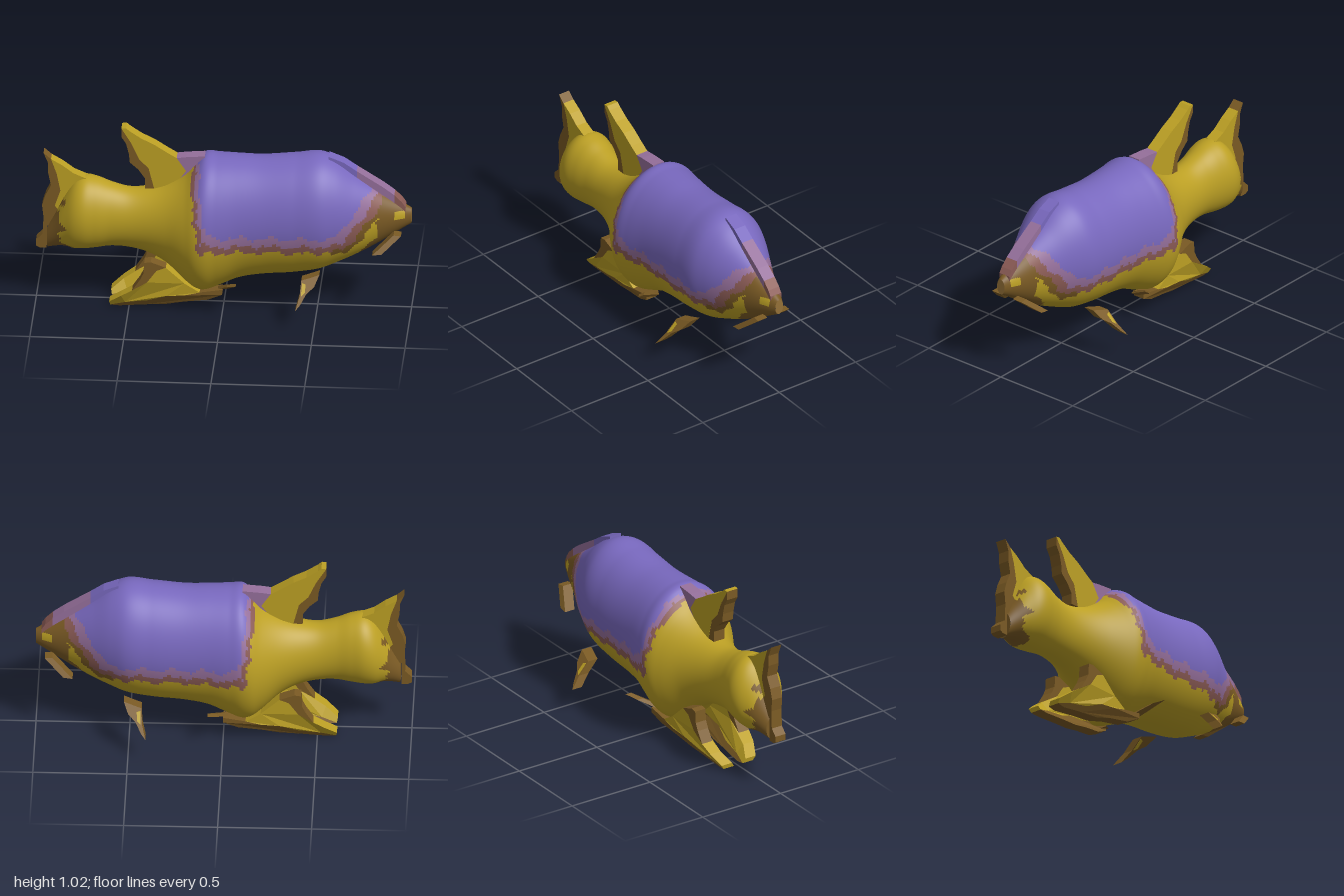
import * as THREE from 'three';

const COLORS = {
  yellow: 0xbca024, purple: 0x7868be, mauve: 0x96709c,
  rose: 0x8c5c56, brown: 0x7a5a24, tan: 0x947038,
};
const NAMES = Object.keys(COLORS);

// Body sections, tail to snout: x, belly y, back y, half width
const SECTIONS = [
  [-0.94, 0.295, 0.44, 0.05], [-0.9, 0.305, 0.51, 0.075], [-0.85, 0.31, 0.61, 0.11],
  [-0.8, 0.3, 0.685, 0.142], [-0.75, 0.3, 0.717, 0.153], [-0.68, 0.308, 0.71, 0.142],
  [-0.6, 0.32, 0.68, 0.126], [-0.5, 0.315, 0.655, 0.125], [-0.4, 0.29, 0.665, 0.145],
  [-0.3, 0.235, 0.7, 0.185], [-0.2, 0.14, 0.765, 0.245], [-0.15, 0.1, 0.82, 0.272],
  [-0.1, 0.088, 0.865, 0.281], [-0.03, 0.115, 0.865, 0.27], [0.08, 0.165, 0.862, 0.252],
  [0.2, 0.19, 0.86, 0.245], [0.38, 0.208, 0.877, 0.245], [0.52, 0.235, 0.89, 0.24],
  [0.6, 0.268, 0.858, 0.212], [0.7, 0.315, 0.785, 0.165], [0.8, 0.37, 0.715, 0.115],
  [0.9, 0.435, 0.65, 0.072], [0.96, 0.475, 0.612, 0.046], [1, 0.5, 0.588, 0.026],
];

// Colour of the skin at a point, with ragged borders
function skinColor(x, y, a) {
  if (Math.abs(x - 0.94) < 0.024 && Math.abs(y - 0.565) < 0.022) return 'yellow'; // eye
  const n = 0.011 * Math.sin(x * 37 + 1) + 0.008 * Math.sin(x * 83 + y * 40);
  const m = 0.012 * Math.sin(y * 45) + 0.008 * Math.sin(y * 97 + 2);
  const left = (x + 0.125 - 0.12 * (0.8 - y)) * 2 + m;
  const bottom = y - 0.495 + n;
  const front = ((y - 0.52) * 0.16 - (x - 0.63) * 0.2) / 0.256 + m * 0.7;
  // rounded corner between the left and lower borders
  const d = Math.min(left, bottom, front) - 0.02 * Math.exp(-(left * left + bottom * bottom) * 150);
  if (d > 0) return 'purple';
  if (d > -0.05) return 'mauve';
  if (d > -0.092) return 'rose';
  if (x > 0.58 && d > -0.125) return 'brown';
  const low = Math.pow(Math.max(0, -Math.cos(a)), 3);
  if (x > 0.83 - 0.13 * low + m) return 'brown'; // snout and chin
  if (x < -0.865 + m * 1.5 + 0.05 * low) return 'brown'; // tail root
  return 'yellow';
}

function bodyGeometry() {
  const NX = 176, NA = 120;
  const spline = new THREE.CubicInterpolant(
    SECTIONS.map((s) => s[0]), SECTIONS.flatMap((s) => s.slice(1)), 3);
  const pos = [], lists = NAMES.map(() => []);
  for (let i = 0; i <= NX; i++) {
    const x = -0.94 + (1.94 * i) / NX;
    const [lo, hi, w] = spline.evaluate(x);
    for (let j = 0; j < NA; j++) {
      const a = (j / NA) * Math.PI * 2;
      pos.push(x, (lo + hi) / 2 + ((hi - lo) / 2) * Math.cos(a), w * Math.sin(a));
    }
  }
  for (let i = 0; i < NX; i++) {
    for (let j = 0; j < NA; j++) {
      const k = (j + 1) % NA;
      const p = i * NA + j, q = i * NA + k, r = p + NA, s = q + NA;
      const c = skinColor((pos[p * 3] + pos[s * 3]) / 2, (pos[p * 3 + 1] + pos[s * 3 + 1]) / 2,
        ((j + 0.5) / NA) * Math.PI * 2);
      lists[NAMES.indexOf(c)].push(p, q, r, q, s, r);
    }
  }
  const g = new THREE.BufferGeometry();
  g.setAttribute('position', new THREE.Float32BufferAttribute(pos, 3));
  g.setIndex(lists.flat());
  let start = 0;
  lists.forEach((l, m) => {
    if (l.length) g.addGroup(start, l.length, m);
    start += l.length;
  });
  g.computeVertexNormals();
  return g;
}

// Slab with a side outline; zAt gives its middle z at each point
function slab(points, thick, zAt = () => 0, side = 1) {
  const shape = new THREE.Shape(points.map((p) => new THREE.Vector2(p[0], p[1])));
  const g = new THREE.ExtrudeGeometry(shape, { depth: 1, bevelEnabled: false });
  const p = g.attributes.position;
  for (let i = 0; i < p.count; i++) {
    p.setZ(i, side * zAt(p.getX(i), p.getY(i)) + (p.getZ(i) - 0.5) * thick);
  }
  g.computeVertexNormals();
  return g;
}

export function createModel() {
  const model = new THREE.Group();
  const mats = {};
  for (const n of NAMES) {
    mats[n] = new THREE.MeshStandardMaterial({ color: COLORS[n] });
    mats[n].name = n;
  }
  const add = (name, geometry, material) => {
    const mesh = new THREE.Mesh(geometry, material);
    mesh.name = name;
    model.add(mesh);
    return mesh;
  };

  add('body', bodyGeometry(), NAMES.map((n) => mats[n]));

  // Closed ends of the body
  const cap = (name, mat, x, y, h, w, turn) => {
    const m = add(name, new THREE.CircleGeometry(1, 32), mat);
    m.scale.set(w, h, 1);
    m.rotation.y = turn;
    m.position.set(x, y, 0);
  };
  cap('noseTip', mats.tan, 1, 0.544, 0.044, 0.026, Math.PI / 2);
  cap('tailEnd', mats.brown, -0.94, 0.3675, 0.0725, 0.05, -Math.PI / 2);

  // Dorsal fin
  add('dorsalFin', slab([[-0.545, 1.02], [-0.49, 0.93], [-0.45, 0.84], [-0.4, 0.79], [-0.37, 0.67],
    [-0.25, 0.71], [-0.2, 0.78], [-0.25, 0.855], [-0.3, 0.885], [-0.37, 0.93], [-0.44, 0.965],
    [-0.5, 1.005], [-0.52, 1.022]], 0.07), mats.yellow);
  add('dorsalFinEdge', slab([[-0.545, 1.02], [-0.545, 0.97], [-0.52, 0.93], [-0.505, 0.87],
    [-0.5, 0.82], [-0.455, 0.78], [-0.42, 0.73], [-0.42, 0.67], [-0.37, 0.67], [-0.4, 0.79],
    [-0.45, 0.84], [-0.49, 0.93]], 0.068), mats.brown);
  add('dorsalFinBase', slab([[-0.25, 0.855], [-0.2, 0.78], [-0.25, 0.71], [-0.1, 0.78],
    [-0.1, 0.87], [-0.2, 0.862]], 0.07), mats.mauve);

  // Forehead crest, changing colour towards the snout
  const crest = [[0.56, 0.89], [0.64, 0.858], [0.71, 0.81], [0.78, 0.765], [0.85, 0.72],
    [0.91, 0.675], [0.95, 0.635], [0.97, 0.605]];
  const crestColors = ['purple', 'purple', 'mauve', 'mauve', 'mauve', 'rose', 'rose'];
  crestColors.forEach((c, i) => {
    const [a, b] = [crest[i], crest[i + 1]];
    add('crest' + (i + 1), slab([a, [a[0], a[1] - 0.08], [b[0], b[1] - 0.08], b], 0.07), mats[c]);
  });

  // Tail fin
  add('tailFin', slab([[-0.92, 0.825], [-0.89, 0.74], [-0.87, 0.64], [-0.9, 0.55], [-0.86, 0.5],
    [-0.74, 0.65], [-0.735, 0.717], [-0.8, 0.745], [-0.86, 0.79]], 0.065), mats.yellow);
  add('tailFinEdge', slab([[-0.96, 0.86], [-0.935, 0.8], [-0.935, 0.74], [-0.92, 0.67],
    [-0.95, 0.61], [-0.968, 0.55], [-0.96, 0.48], [-0.965, 0.38], [-1, 0.345], [-1, 0.31],
    [-0.98, 0.3], [-0.945, 0.3], [-0.945, 0.43], [-0.9, 0.45], [-0.86, 0.5], [-0.9, 0.55], [-0.87, 0.64],
    [-0.89, 0.74], [-0.92, 0.825]], 0.065), mats.brown);

  // Paired fins
  for (const side of [1, -1]) {
    const tag = side > 0 ? 'Left' : 'Right';
    const lowerZ = (x, y) => 0.058 + 0.6 * Math.min(y, 0.1);
    add('lowerFin' + tag, slab([[-0.6, 0.005], [-0.52, 0.03], [-0.4, 0.05], [-0.3, 0.09], [-0.2, 0.1],
      [-0.12, 0.12], [-0.2, 0.17], [-0.3, 0.26], [-0.35, 0.24], [-0.4, 0.17], [-0.48, 0.12],
      [-0.54, 0.08], [-0.605, 0.03]], 0.066, lowerZ, side), mats.yellow);
    add('lowerFinEdge' + tag, slab([[-0.6, 0.005], [-0.55, 0], [-0.42, 0.015], [-0.3, 0.025],
      [-0.2, 0.05], [-0.08, 0.07], [0, 0.11], [0, 0.14], [-0.12, 0.12], [-0.2, 0.1], [-0.3, 0.09],
      [-0.4, 0.05], [-0.52, 0.03]], 0.066, lowerZ, side), mats.brown);
    add('lowerFinBack' + tag, slab([[-0.48, 0.12], [-0.4, 0.17], [-0.35, 0.24], [-0.3, 0.26],
      [-0.38, 0.29], [-0.415, 0.285], [-0.42, 0.22], [-0.44, 0.18]], 0.066, lowerZ, side), mats.brown);
    add('lowerFinTip' + tag, slab([[-0.06, 0.1], [0.02, 0.13], [0.08, 0.215], [0.03, 0.19]],
      0.035, (x, y) => 0.1 + (y - 0.13) * 1.7, side), mats.brown);

    const sideZ = (x, y) => 0.215 + (0.285 - y) * 0.95;
    add('sideFin' + tag, slab([[0.405, 0.14], [0.43, 0.165], [0.46, 0.21], [0.5, 0.24], [0.525, 0.29],
      [0.47, 0.275], [0.43, 0.265], [0.425, 0.2]], 0.06, sideZ, side), mats.brown);
    add('sideFinPatch' + tag, slab([[0.432, 0.2], [0.452, 0.215], [0.455, 0.25], [0.435, 0.255]],
      0.064, sideZ, side), mats.yellow);

    add('chinFlap' + tag, slab([[0.8, 0.375], [0.85, 0.38], [0.95, 0.465], [0.91, 0.468]],
      0.06, (x, y) => 0.072 + (0.465 - y) * 0.65, side), mats.brown);
  }
  return model;
}
